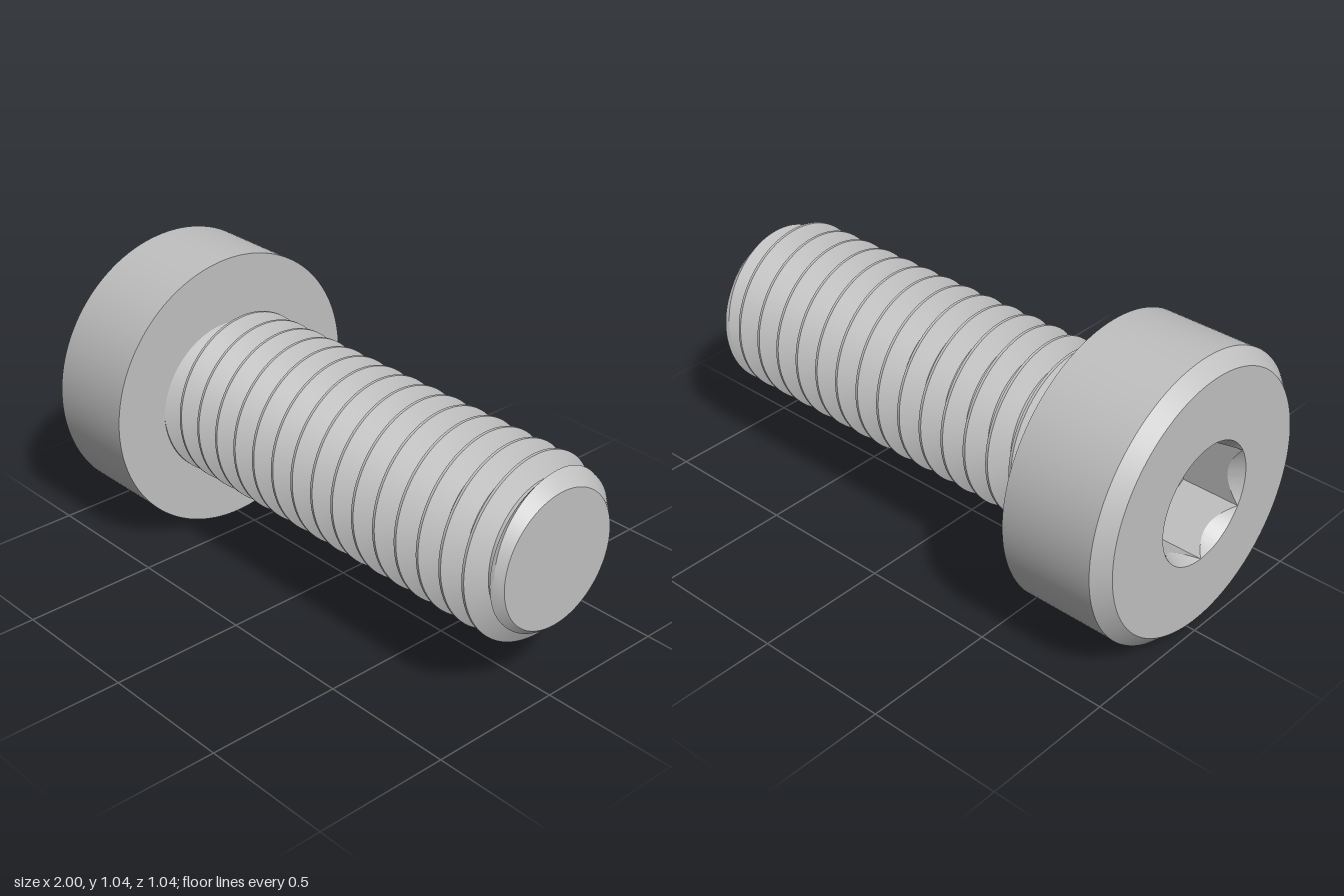
import * as THREE from 'three';
import { toCreasedNormals } from 'three/addons/utils/BufferGeometryUtils.js';

const AXIS_Y = 0.52;
const SEG = 120;

// Surface swept around the x axis; sections[i](angle) returns [x, radius].
// Angle 0 points up and grows towards the front.
function sweep(name, sections, material) {
  const pos = [];
  const point = (i, j) => {
    const a = (j / SEG) * Math.PI * 2;
    const [x, r] = sections[i](a);
    const b = ((j % SEG) / SEG) * Math.PI * 2;
    return new THREE.Vector3(x, r * Math.cos(b), r * Math.sin(b));
  };
  const tri = (a, b, c) => {
    const n = b.clone().sub(a).cross(c.clone().sub(a));
    if (n.length() < 1e-9) return; // collapsed at the ends
    for (const p of [a, b, c]) pos.push(p.x, p.y, p.z);
  };
  for (let i = 0; i < sections.length - 1; i++) {
    for (let j = 0; j < SEG; j++) {
      const a = point(i, j), b = point(i, j + 1);
      const c = point(i + 1, j), d = point(i + 1, j + 1);
      tri(a, b, c);
      tri(b, d, c);
    }
  }
  const geo = new THREE.BufferGeometry();
  geo.setAttribute('position', new THREE.Float32BufferAttribute(pos, 3));
  const mesh = new THREE.Mesh(toCreasedNormals(geo, 0.4), material);
  mesh.name = name;
  mesh.position.y = AXIS_Y;
  return mesh;
}

const ring = (x, r) => () => [x, r];

export function createModel() {
  const steel = new THREE.MeshStandardMaterial({ color: 0xc0c0c0 });
  steel.name = 'steel';
  const group = new THREE.Group();
  group.name = 'socketScrew';

  // Cylindrical head with a chamfered outer rim
  const RIM = 0.22;
  group.add(sweep('head', [
    ring(-1, RIM), ring(-1, 0.47), ring(-0.95, 0.52), ring(-0.6, 0.52), ring(-0.6, 0.2),
  ], steel));

  // Hexagonal socket with a countersunk mouth
  const floorX = -0.78;
  const hex = (a) => {
    const third = Math.PI / 3;
    return (RIM * Math.cos(third / 2)) / Math.cos((a % third) - third / 2);
  };
  group.add(sweep('hexSocket', [
    ring(floorX, 0),
    (a) => [floorX, hex(a)],
    (a) => [-1 + (RIM - hex(a)) * 1.7, hex(a)],
    ring(-1, RIM),
  ], steel));

  // Right-handed thread, cut off by the head and by the chamfer at the tip
  const PITCH = 0.1, START = -0.53, CREST = 0.32, ROOT = 0.25;
  const flatCrest = 0.05, flatRoot = 0.42;
  const threadRadius = (x, a) => {
    const turns = (x - START) / PITCH - a / (Math.PI * 2);
    const off = Math.abs(turns - Math.round(turns));
    const t = THREE.MathUtils.clamp((off - flatCrest) / (flatRoot - flatCrest), 0, 1);
    return Math.min(CREST + (ROOT - CREST) * t, 0.245 + (1 - x));
  };
  const steps = [-0.42, -0.295, -0.17, -0.05, 0.05, 0.17, 0.295, 0.42];
  const shank = [];
  for (let k = -2; k <= 16; k++) {
    for (const u of steps) {
      shank.push((a) => {
        const x = THREE.MathUtils.clamp(START + PITCH * (k + u + a / (Math.PI * 2)), -0.6, 1);
        return [x, threadRadius(x, a)];
      });
    }
  }
  group.add(sweep('threadedShank', shank, steel));

  // Flat tip
  group.add(sweep('tip', [ring(1, 0.245), ring(1, 0)], steel));

  return group;
}
